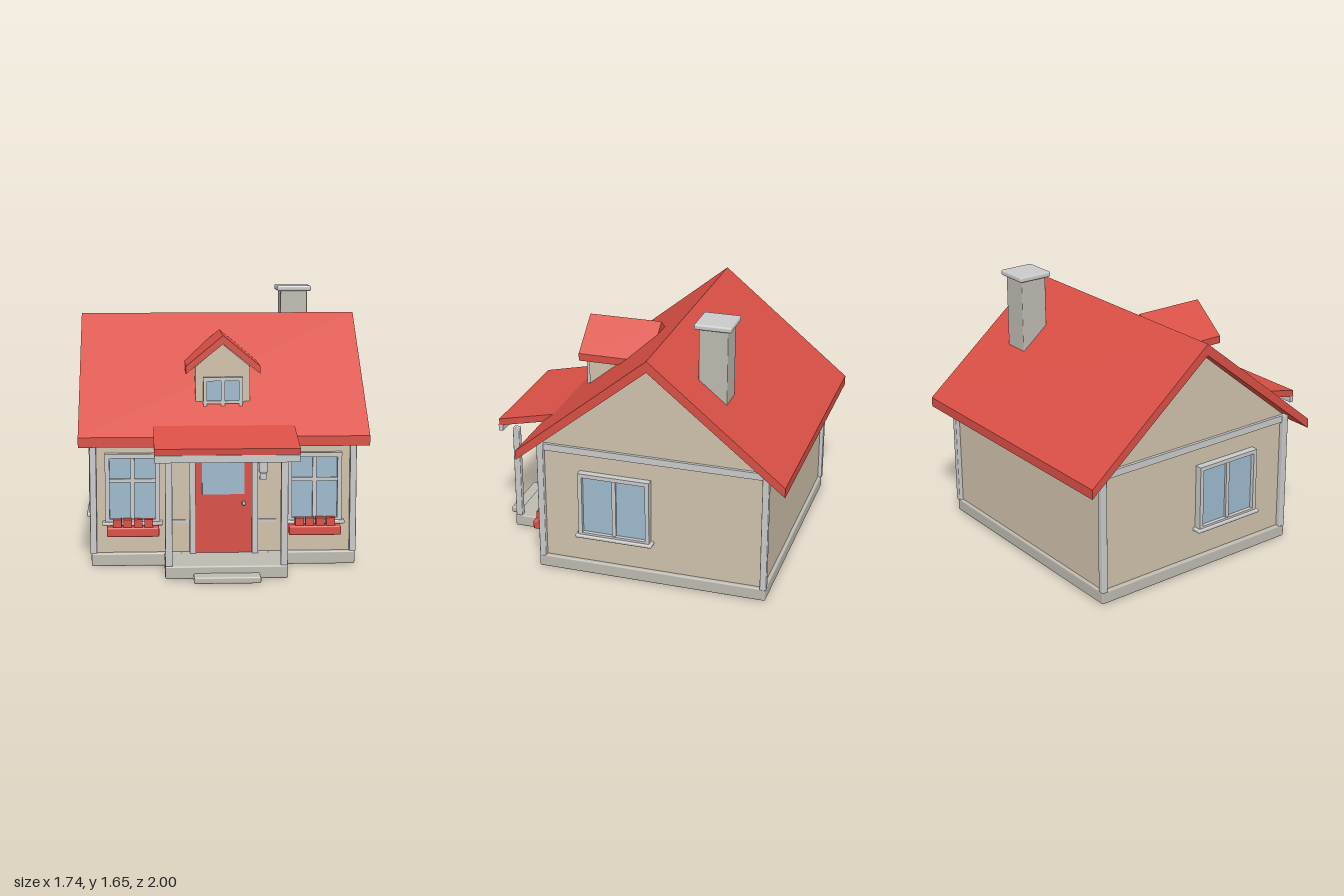
import * as THREE from 'three';
import { RoundedBoxGeometry } from 'three/addons/geometries/RoundedBoxGeometry.js';

const paint = (name, hex) => Object.assign(new THREE.MeshStandardMaterial({ color: hex }), { name });

export function createModel() {
  const red = paint('red', 0xd94f45);
  const cream = paint('cream wall', 0xcfc1ab);
  const stone = paint('stone', 0xbdbab0);
  const trim = paint('trim', 0xcacacb);
  const glass = paint('glass', 0x9db9cc);

  const house = new THREE.Group();
  house.name = 'cottage';

  const group = (name, parent = house) => {
    const g = new THREE.Group();
    g.name = name;
    parent.add(g);
    return g;
  };
  const add = (name, geometry, material, parent) => {
    const m = new THREE.Mesh(geometry, material);
    m.name = name;
    parent.add(m);
    return m;
  };
  // Box given by its limits; a radius softens the edges
  const box = (name, material, [x0, x1], [y0, y1], [z0, z1], parent = house, radius = 0) => {
    const size = [x1 - x0, y1 - y0, z1 - z0];
    const g = radius ? new RoundedBoxGeometry(...size, 2, radius) : new THREE.BoxGeometry(...size);
    g.translate((x0 + x1) / 2, (y0 + y1) / 2, (z0 + z1) / 2);
    return add(name, g, material, parent);
  };
  // Prism from a profile, running along z
  const prism = (points, z0, z1) => {
    const shape = new THREE.Shape(points.map(([x, y]) => new THREE.Vector2(x, y)));
    return new THREE.ExtrudeGeometry(shape, { depth: z1 - z0, bevelEnabled: false }).translate(0, 0, z0);
  };
  // Prism from a (z, y) profile, running along x and centred
  const prismX = (points, width) => prism(points, -width / 2, width / 2).rotateY(-Math.PI / 2);

  // Foundation, porch floor and step
  box('foundation', stone, [-0.8, 0.8], [0.005, 0.085], [-0.885, 0.555], house, 0.01);
  box('porchFloor', stone, [-0.36, 0.36], [0.005, 0.083], [0.5, 0.9], house, 0.01);
  box('step', stone, [-0.195, 0.195], [0, 0.04], [0.89, 1], house, 0.01);

  // Walls with both gables
  add('walls', prismX([[0.525, 0.06], [0.525, 0.85], [-0.17, 1.42], [-0.865, 0.85], [-0.865, 0.06]], 1.55), cream, house);

  // Corner posts and the band below the gables
  for (const s of [-1, 1]) {
    for (const z of [0.53, -0.87])
      box('cornerPost', trim, [s * 0.787 - 0.02, s * 0.787 + 0.02], [0.08, 0.845], [z - 0.02, z + 0.02], house, 0.006);
    box('gableBand', trim, [s * 0.782 - 0.012, s * 0.782 + 0.012], [0.802, 0.845], [-0.88, 0.54]);
  }
  for (const z of [0.528, -0.868])
    box('eaveBand', trim, [-0.78, 0.78], [0.8, 0.838], [z - 0.01, z + 0.01]);

  // Main roof
  add('roof', prismX([[0.66, 0.75], [0.66, 0.81], [-0.17, 1.49], [-1, 0.81], [-1, 0.75], [-0.17, 1.42]], 1.74), red, house);

  // Chimney
  const chimney = group('chimney');
  box('chimneyStack', stone, [0.425, 0.6], [1.0, 1.615], [-0.575, -0.4], chimney, 0.006);
  box('chimneyCap', trim, [0.4, 0.625], [1.615, 1.65], [-0.6, -0.375], chimney, 0.012);

  // Window built facing +z, standing on its sill
  const windowUnit = (name, w, h, border, cross) => {
    const g = group(name);
    const a = w / 2;
    box('pane', glass, [-a + 0.01, a - 0.01], [0.01, h - 0.01], [-0.005, 0.02], g);
    for (const s of [-1, 1])
      box('frameSide', trim, [s * (a - border / 2) - border / 2, s * (a - border / 2) + border / 2], [0, h], [-0.005, 0.045], g);
    for (const y of [0, h - border])
      box('frameRail', trim, [-a + border, a - border], [y, y + border], [-0.005, 0.045], g);
    box('mullion', trim, [-0.012, 0.012], [border, h - border], [0, 0.035], g);
    if (cross) box('crossBar', trim, [-a + border, a - border], [0.25, 0.272], [0, 0.033], g);
    box('sill', trim, [-a - 0.018, a + 0.018], [-0.01, 0.012], [-0.005, 0.06], g, 0.008);
    return g;
  };

  // Front windows with flower boxes, and side windows
  for (const s of [-1, 1]) {
    windowUnit('frontWindow', 0.33, 0.425, 0.027, true).position.set(s * 0.55, 0.27, 0.525);
    const side = windowUnit('sideWindow', 0.45, 0.42, 0.025, false);
    side.position.set(s * 0.775, 0.27, 0.06);
    side.rotation.y = s * Math.PI / 2;

    const planter = group('flowerBox');
    planter.position.x = s * 0.548;
    box('planter', red, [-0.157, 0.157], [0.2, 0.258], [0.53, 0.632], planter, 0.01);
    for (let i = 0; i < 4; i++) {
      const x = (i - 1.5) * 0.0625;
      box('flower', red, [x - 0.026, x + 0.026], [0.25, 0.305], [0.573, 0.622], planter);
    }
    // Short wall rail beside the door
    box('wallRail', trim, [s * 0.26 - 0.06, s * 0.26 + 0.06], [0.263, 0.283], [0.52, 0.532]);
  }

  // Door
  const door = group('door');
  box('doorPanel', red, [-0.17, 0.17], [0.083, 0.705], [0.52, 0.555], door);
  box('doorPane', glass, [-0.13, 0.126], [0.443, 0.672], [0.553, 0.56], door);
  for (const s of [-1, 1])
    box('doorJamb', trim, [s * 0.188 - 0.018, s * 0.188 + 0.018], [0.083, 0.705], [0.52, 0.575], door);
  box('doorHead', trim, [-0.206, 0.206], [0.7, 0.74], [0.52, 0.58], door);
  box('doorKnob', trim, [0.109, 0.131], [0.377, 0.4], [0.55, 0.578], door, 0.005);

  // Wall lamp
  const lamp = group('wallLamp');
  box('lampBracket', trim, [0.22, 0.258], [0.53, 0.62], [0.52, 0.545], lamp);
  box('lampHead', trim, [0.211, 0.266], [0.572, 0.655], [0.53, 0.59], lamp, 0.015);

  // Porch posts, beam and sloping roof
  const porch = group('porch');
  for (const s of [-1, 1])
    box('porchPost', trim, [s * 0.338 - 0.021, s * 0.338 + 0.021], [0.08, 0.705], [0.854, 0.896], porch, 0.006);
  box('porchBeam', trim, [-0.42, 0.42], [0.705, 0.748], [0.935, 0.963], porch);
  add('porchRoof', prismX([[0.955, 0.742], [0.958, 0.785], [0.587, 0.868], [0.578, 0.825]], 0.845), red, porch);

  // Dormer body and roof
  const dormer = group('dormer');
  add('dormerBody', prism([[-0.165, 0.95], [0.165, 0.95], [0.165, 1.205], [0, 1.34], [-0.165, 1.205]], 0.03, 0.437), cream, dormer);
  add('dormerRoof', prism([[-0.225, 1.165], [0, 1.345], [0.225, 1.165], [0.225, 1.212], [0, 1.397], [-0.225, 1.212]], 0.015, 0.485), red, dormer);

  // Dormer window
  box('dormerPane', glass, [-0.1, 0.1], [0.99, 1.125], [0.43, 0.446], dormer);
  box('dormerWindowHead', trim, [-0.12, 0.12], [1.12, 1.143], [0.43, 0.472], dormer);
  box('dormerSill', trim, [-0.12, 0.12], [0.982, 1.0], [0.43, 0.465], dormer);
  for (const x of [-0.108, 0, 0.108])
    box('dormerWindowBar', trim, [x - 0.011, x + 0.011], [0.968, 1.13], [0.43, 0.47], dormer);

  return house;
}
